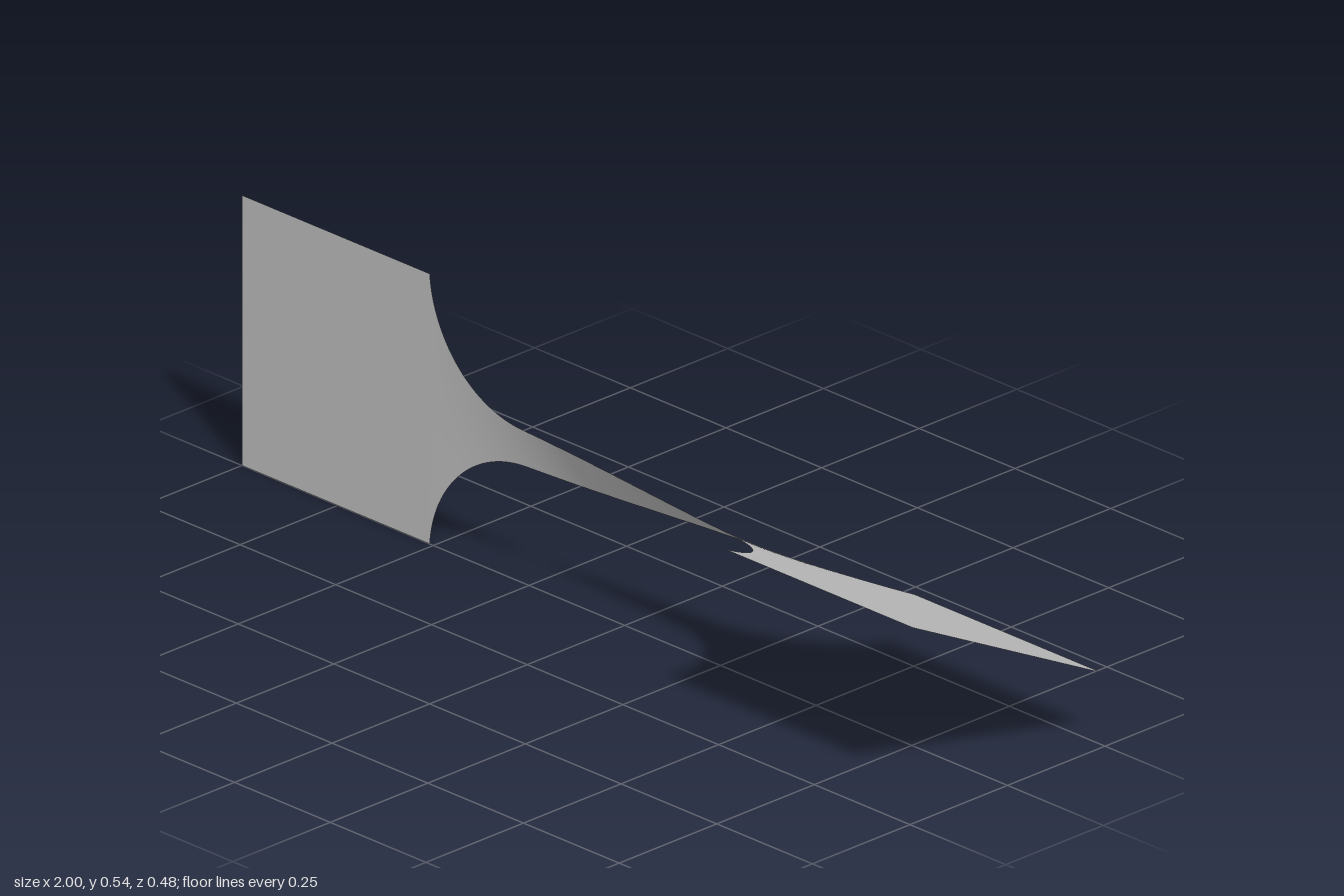
import * as THREE from 'three';

const HALF_WIDTH = 0.271; // half width of the end plates
const NECK = 0.04; // half width of the narrow strip
const RADIUS = 0.25; // shoulder fillet
const FILLET_X = 0.26; // where the fillets meet the neck
const TWIST = THREE.MathUtils.degToRad(63.4);

// Stations along the strip as [x, half width], denser in the fillets
function stations() {
  const left = [[-1, HALF_WIDTH]];
  const start = Math.acos((NECK + RADIUS - HALF_WIDTH) / RADIUS);
  const steps = 28;
  for (let i = 0; i <= steps; i++) {
    const a = start * (1 - i / steps);
    left.push([-FILLET_X - RADIUS * Math.sin(a), NECK + RADIUS * (1 - Math.cos(a))]);
  }
  const neck = [];
  for (let i = 1; i < 40; i++) neck.push([-FILLET_X + (2 * FILLET_X * i) / 40, NECK]);
  const right = left.map(([x, w]) => [-x, w]).reverse();
  return [...left, ...neck, ...right];
}

export function createModel() {
  const group = new THREE.Group();
  group.name = 'twistedStrip';
  const grey = new THREE.MeshStandardMaterial({ color: 0xc0c0c0, side: THREE.DoubleSide });
  grey.name = 'grey metal';

  // Thin waisted sheet, twisted smoothly between its two flat end plates
  const cols = stations();
  const rows = 8;
  const geometry = new THREE.PlaneGeometry(2, 2, cols.length - 1, rows);
  const pos = geometry.attributes.position;
  for (let i = 0; i < pos.count; i++) {
    const [x, halfWidth] = cols[i % cols.length];
    const v = pos.getY(i) * halfWidth;
    const angle = TWIST * THREE.MathUtils.smoothstep(x, -0.51, 0.51);
    pos.setXYZ(i, x, HALF_WIDTH + v * Math.cos(angle), v * Math.sin(angle));
  }
  geometry.computeVertexNormals();

  const strip = new THREE.Mesh(geometry, grey);
  strip.name = 'twistedSheet';
  group.add(strip);
  return group;
}
